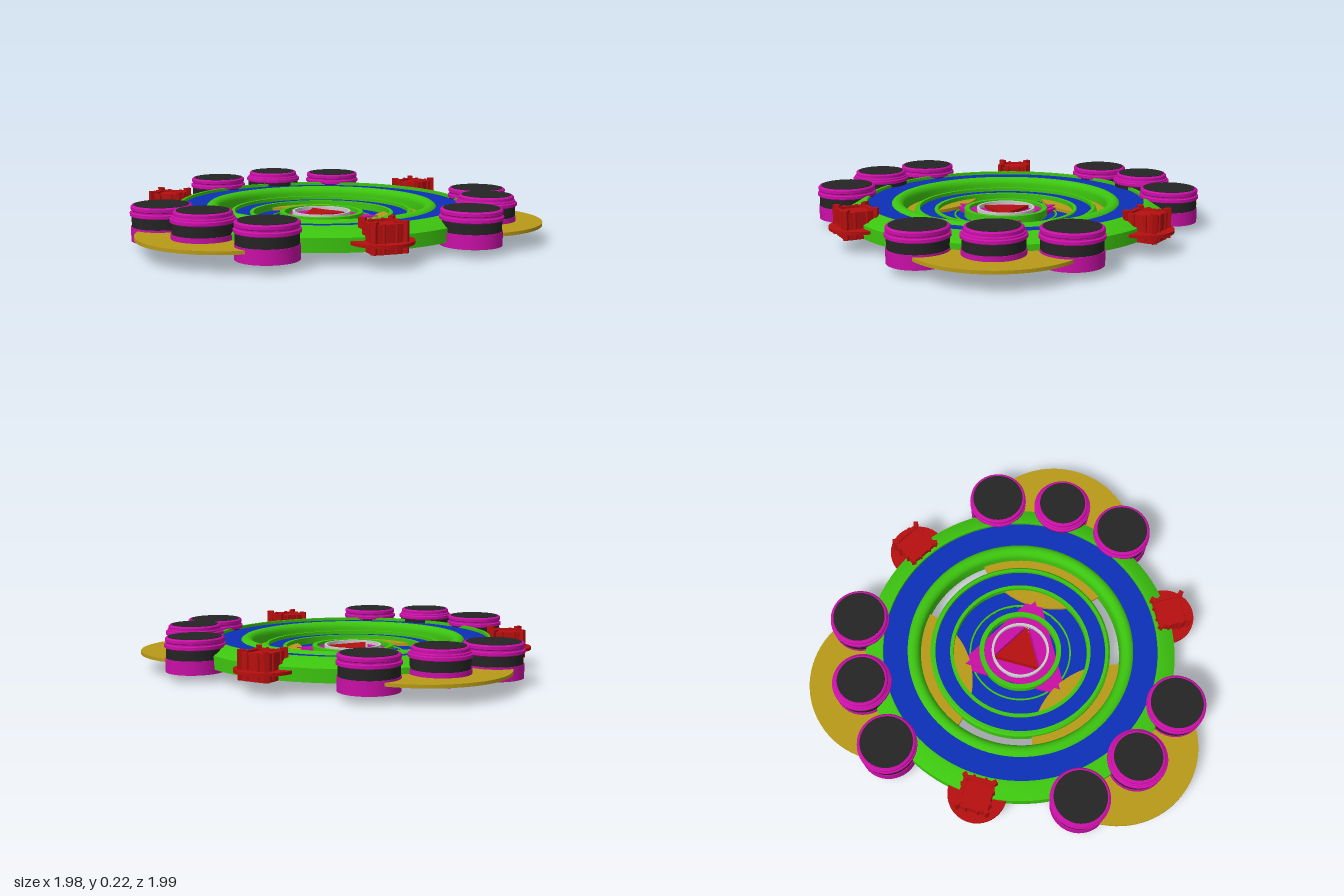
import * as THREE from 'three';
import { toCreasedNormals } from 'three/addons/utils/BufferGeometryUtils.js';

const paint = (color) => new THREE.MeshStandardMaterial({ color, side: THREE.DoubleSide });
const CENTRE_Z = 0.08;

export function createModel() {
  const green = paint(0x3cc40f), blue = paint(0x0c2fb8), gold = paint(0xb89a18);
  const magenta = paint(0xc90fa6), red = paint(0xb80f0f), dark = paint(0x242424);
  const grey = paint(0xcccccc);

  const model = new THREE.Group();
  model.name = 'medallion';
  const body = new THREE.Group();
  body.name = 'body';
  body.position.z = CENTRE_Z;
  model.add(body);

  const add = (parent, name, geometry, material) => {
    const mesh = new THREE.Mesh(geometry, material);
    mesh.name = name;
    parent.add(mesh);
    return mesh;
  };

  // Solid of revolution from a closed (radius, height) outline
  const turned = (parent, name, outline, material, segments = 96) => {
    const points = [...outline, outline[0]].map(([r, y]) => new THREE.Vector2(r, y));
    return add(parent, name, toCreasedNormals(new THREE.LatheGeometry(points, segments), 0.6), material);
  };
  const band = (parent, name, inner, outer, bottom, top, material, segments) =>
    turned(parent, name, [[outer, bottom], [outer, top], [inner, top], [inner, bottom]], material, segments);

  // Flat outline extruded upward, with the shape's +y facing the back
  const slab = (parent, name, shape, bottom, top, material) => {
    const geometry = new THREE.ExtrudeGeometry(shape, { depth: top - bottom, bevelEnabled: false, curveSegments: 8 });
    geometry.rotateX(-Math.PI / 2);
    geometry.translate(0, bottom, 0);
    return add(parent, name, toCreasedNormals(geometry, 0.6), material);
  };
  const triangle = (radius, Kind = THREE.Shape) => new Kind([0, 1, 2].map((i) => {
    const a = Math.PI / 2 + i * Math.PI * 2 / 3;
    return new THREE.Vector2(radius * Math.cos(a), radius * Math.sin(a));
  }));
  const roundedSquare = (h, r, Kind = THREE.Shape) => {
    const s = new Kind();
    s.moveTo(-h + r, -h).lineTo(h - r, -h).quadraticCurveTo(h, -h, h, -h + r);
    s.lineTo(h, h - r).quadraticCurveTo(h, h, h - r, h);
    s.lineTo(-h + r, h).quadraticCurveTo(-h, h, -h, h - r);
    s.lineTo(-h, -h + r).quadraticCurveTo(-h, -h, -h + r, -h);
    return s;
  };

  // Group placed around the centre, angle measured from the back
  const around = (name, degrees, radius) => {
    const a = THREE.MathUtils.degToRad(degrees);
    const group = new THREE.Group();
    group.name = name;
    group.position.set(radius * Math.sin(a), 0, -radius * Math.cos(a));
    group.rotation.y = -a;
    body.add(group);
    return group;
  };

  // Large outer ring: sloped green rim, blue plate, rounded inner rim
  turned(body, 'outerRim', [[0.78, 0.06], [0.78, 0.125], [0.705, 0.165], [0.69, 0.165],
    [0.69, 0.13], [0.755, 0.1], [0.755, 0.06]], green);
  band(body, 'outerPlate', 0.565, 0.695, 0.135, 0.15, blue);
  const innerRim = [[0.575, 0.065], [0.575, 0.15]];
  for (let i = 0; i <= 8; i++) {
    const a = Math.PI * i / 8;
    innerRim.push([0.54 + 0.035 * Math.cos(a), 0.13 + 0.035 * Math.sin(a)]);
  }
  innerRim.push([0.505, 0.065]);
  turned(body, 'innerRim', innerRim, green);

  // Stepped inner dish
  turned(body, 'dishRim', [[0.455, 0.065], [0.455, 0.115], [0.445, 0.125], [0.43, 0.125], [0.43, 0.065]], green);
  band(body, 'dishOuterPlate', 0.35, 0.432, 0.095, 0.108, blue);
  band(body, 'dishStep', 0.338, 0.356, 0.06, 0.115, green);
  band(body, 'dishMiddlePlate', 0.25, 0.34, 0.068, 0.08, blue);
  band(body, 'dishLine', 0.25, 0.258, 0.06, 0.085, green);
  band(body, 'dishInnerPlate', 0.13, 0.252, 0.062, 0.074, blue);

  // Hollow hub with nested rings
  turned(body, 'hub', [[0.235, 0], [0.25, 0.008], [0.25, 0.066], [0.215, 0.066], [0.215, 0]], green);
  band(body, 'hubRing', 0.183, 0.207, 0.03, 0.115, green);
  band(body, 'centreSleeve', 0.133, 0.145, 0.02, 0.118, grey);

  // Triangular frame and centre stone
  const frame = triangle(0.335);
  frame.holes.push(triangle(0.15, THREE.Path));
  slab(body, 'triangleFrame', frame, 0.016, 0.094, magenta);
  const trim = triangle(0.285);
  trim.holes.push(triangle(0.15, THREE.Path));
  slab(body, 'triangleTrim', trim, 0.09, 0.1, magenta);
  slab(body, 'centreStone', triangle(0.13), 0.07, 0.112, red);

  // Hollow capped button
  const button = (degrees, radius, lift, topRadius) => {
    const group = around('button', degrees, radius);
    group.position.y = lift;
    band(group, 'buttonBase', 0.128, 0.143, 0.038, 0.105, magenta, 48);
    band(group, 'buttonGrip', 0.125, 0.139, 0.105, 0.155, dark, 48);
    turned(group, 'buttonCollar', [[0.138, 0.153], [0.147, 0.158], [0.147, 0.172], [0.139, 0.176],
      [0.139, 0.182], [topRadius, 0.186], [topRadius, 0.2], [topRadius - 0.006, 0.206],
      [topRadius - 0.02, 0.206], [topRadius - 0.02, 0.153]], magenta, 48);
    const cap = add(group, 'buttonCap', new THREE.CylinderGeometry(topRadius - 0.014, topRadius - 0.014, 0.02, 48), dark);
    cap.position.y = 0.198;
  };

  // Red clasp: round flange, rounded square socket and corner claws
  const clasp = (degrees) => {
    const group = around('clasp', degrees, 0.767);
    band(group, 'claspFlange', 0.06, 0.145, 0.095, 0.11, red, 48);
    const socket = new THREE.Group();
    socket.name = 'claspSocket';
    socket.position.z = -0.018;
    group.add(socket);
    const wall = roundedSquare(0.078, 0.035);
    wall.holes.push(roundedSquare(0.06, 0.028, THREE.Path));
    slab(socket, 'socketWall', wall, 0.06, 0.19, red);
    slab(socket, 'socketStone', roundedSquare(0.061, 0.028), 0.125, 0.18, red);
    for (const x of [-1, 1]) {
      for (const z of [-1, 1]) {
        const claw = add(socket, 'claw', new THREE.BoxGeometry(0.022, 0.14, 0.034), red);
        claw.position.set(x * 0.069, 0.132, z * 0.069);
        claw.rotation.y = x * z * Math.PI / 4;
      }
      for (const offset of [-0.03, 0.03]) {
        const rib = add(socket, 'rib', new THREE.CylinderGeometry(0.008, 0.008, 0.125, 10), red);
        rib.position.set(offset, 0.13, x * 0.078);
        const sideRib = rib.clone();
        sideRib.position.set(x * 0.078, 0.13, offset);
        socket.add(sideRib);
      }
    }
  };

  // Three lobes, each with a gold disc and three buttons, alternating with clasps
  for (const degrees of [0, 120, 240]) {
    const disc = add(around('goldLobe', degrees, 0.67), 'goldDisc', new THREE.CylinderGeometry(0.41, 0.41, 0.016, 80), gold);
    disc.position.y = 0.088;
    button(degrees - 24, 0.825, 0, 0.143);
    button(degrees, 0.81, 0.014, 0.132);
    button(degrees + 24, 0.825, 0, 0.143);
    clasp(degrees + 60);
  }
  return model;
}
